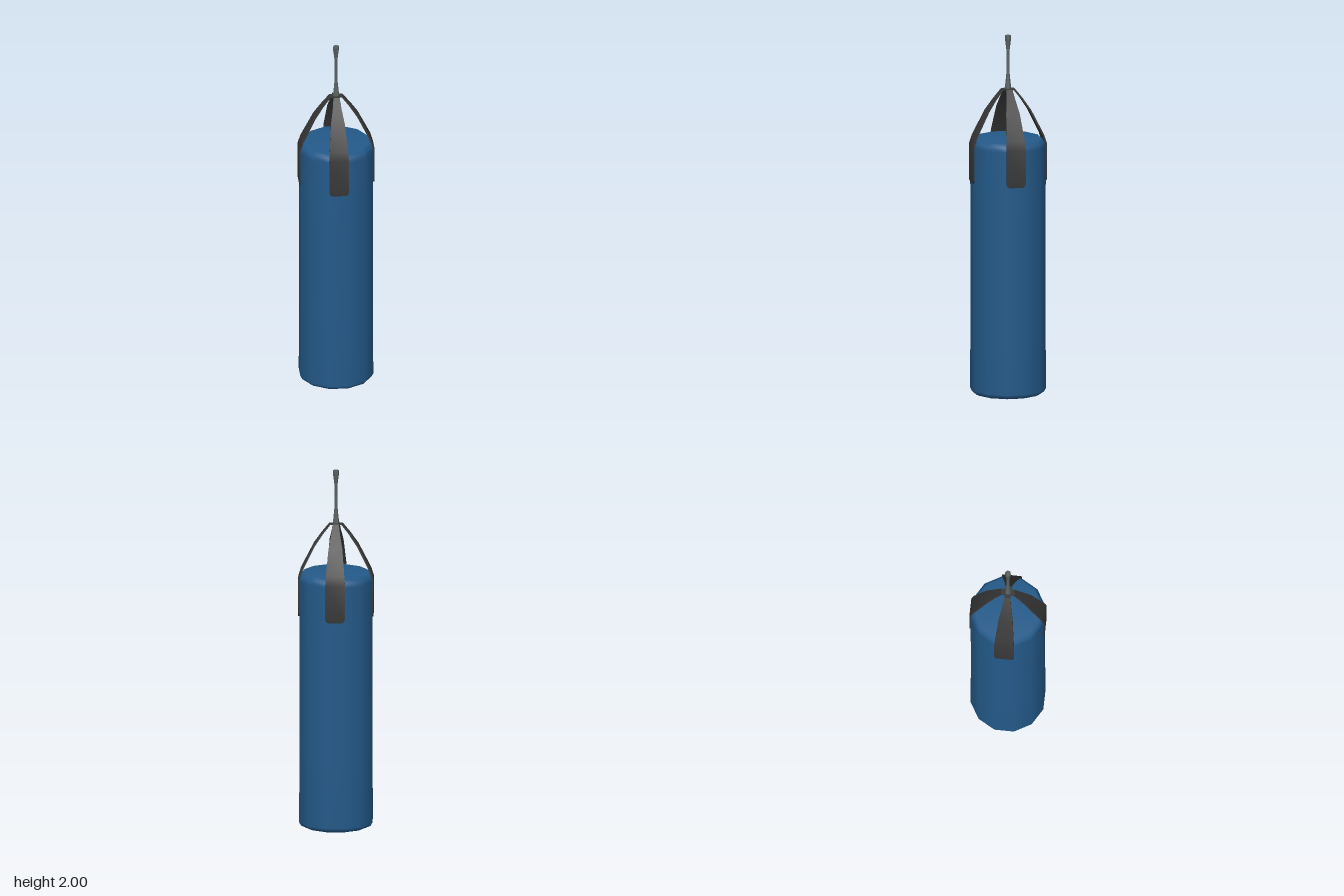
import * as THREE from 'three';
import { toCreasedNormals } from 'three/addons/utils/BufferGeometryUtils.js';

const vinyl = new THREE.MeshStandardMaterial({ name: 'blue vinyl', color: 0x245a8a });
const webbing = new THREE.MeshStandardMaterial({ name: 'black webbing', color: 0x383838 });
const steel = new THREE.MeshStandardMaterial({ name: 'grey steel', color: 0x5c6464 });

function lathe(profile, sides) {
  return new THREE.LatheGeometry(profile.map(([r, y]) => new THREE.Vector2(r, y)), sides);
}

// Thin band swept along stations of [radius, height, half width]
function strapGeometry(stations, thickness) {
  const positions = [];
  const index = [];
  stations.forEach(([r, y, half], i) => {
    const before = stations[Math.max(i - 1, 0)];
    const after = stations[Math.min(i + 1, stations.length - 1)];
    const dr = after[0] - before[0];
    const dy = after[1] - before[1];
    const length = Math.hypot(dr, dy);
    const innerR = r + (dy / length) * thickness;
    const innerY = y - (dr / length) * thickness;
    positions.push(r, y, half, r, y, -half, innerR, innerY, -half, innerR, innerY, half);
    if (i === 0) return;
    for (let k = 0; k < 4; k++) {
      const a = (i - 1) * 4 + k;
      const d = (i - 1) * 4 + ((k + 1) % 4);
      index.push(a, a + 4, d + 4, a, d + 4, d);
    }
  });
  const e = (stations.length - 1) * 4;
  index.push(e, e + 3, e + 2, e, e + 2, e + 1);
  const geometry = new THREE.BufferGeometry();
  geometry.setAttribute('position', new THREE.Float32BufferAttribute(positions, 3));
  geometry.setIndex(index);
  return toCreasedNormals(geometry, 0.9);
}

export function createModel() {
  const model = new THREE.Group();
  model.name = 'punchingBag';
  const add = (name, geometry, material) => {
    const mesh = new THREE.Mesh(geometry, material);
    mesh.name = name;
    model.add(mesh);
    return mesh;
  };

  // Twelve-sided padded bag with softened rims
  add('bag', lathe([
    [0, 0.005], [0.178, 0.005], [0.196, 0.013], [0.207, 0.032], [0.206, 0.44],
    [0.206, 0.97], [0.207, 1.385], [0.2, 1.41], [0.182, 1.43], [0, 1.432],
  ], 12), vinyl);

  // Four straps rising from the bag to the hanger
  const strap = strapGeometry([
    [0, 1.703, 0.017], [0.036, 1.703, 0.017], [0.078, 1.65, 0.025],
    [0.122, 1.585, 0.038], [0.192, 1.445, 0.051], [0.207, 1.395, 0.054],
    [0.207, 1.21, 0.054], [0.206, 1.195, 0.049], [0.205, 1.188, 0.038],
  ], 0.009);
  for (let i = 0; i < 4; i++) {
    add('strap' + (i + 1), strap, webbing).rotation.y = Math.PI / 4 + i * Math.PI / 2;
  }

  // Hexagonal hanger rod with a flared, hollowed top and a knob below the straps
  add('hangerRod', toCreasedNormals(lathe([
    [0, 1.68], [0.008, 1.682], [0.018, 1.698], [0.017, 1.712], [0.013, 1.75],
    [0.009, 1.79], [0.009, 1.92], [0.015, 1.968], [0.017, 1.975], [0.017, 2],
    [0.012, 2], [0.01, 1.985], [0, 1.985],
  ], 6), 0.7), steel);

  return model;
}
